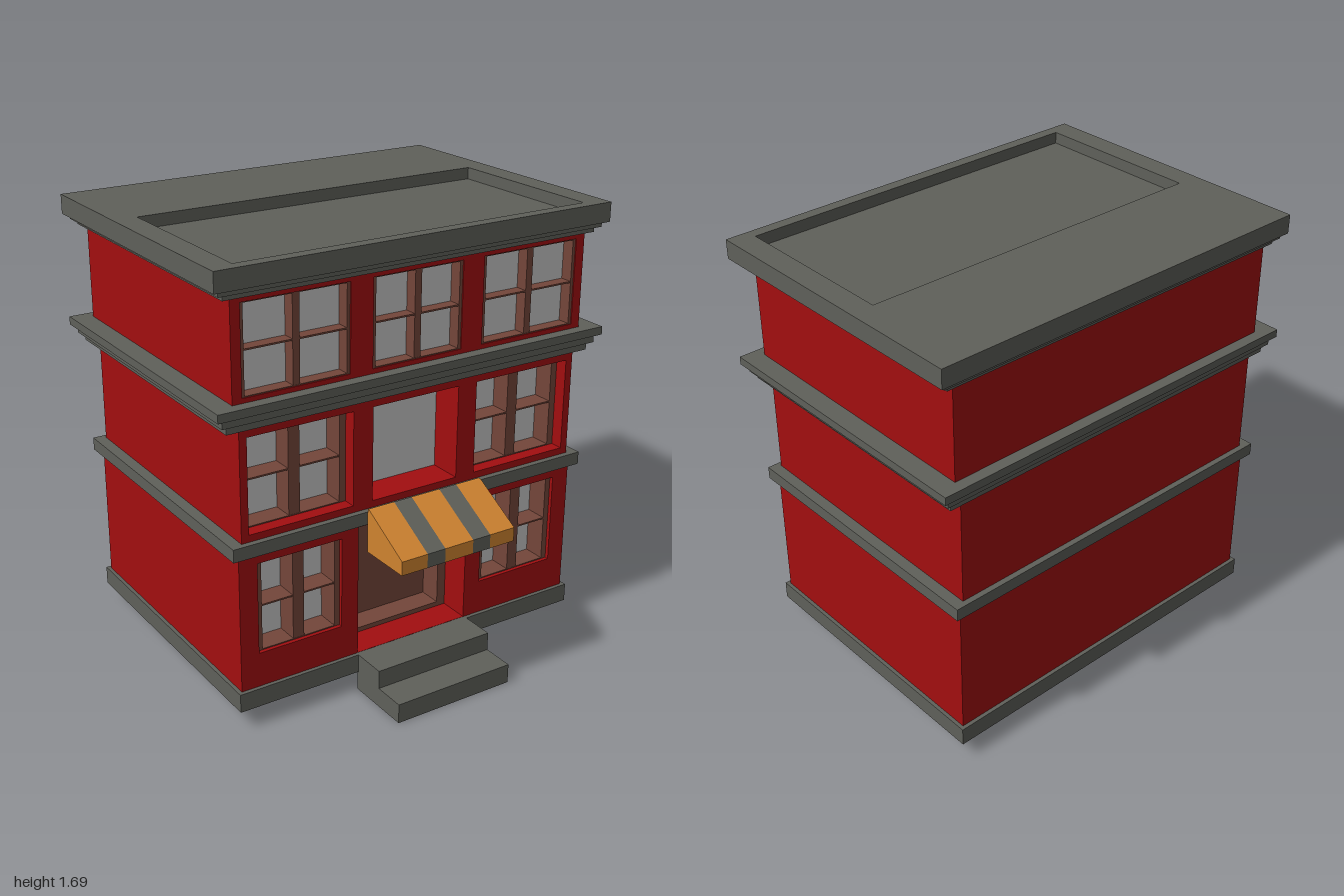
import * as THREE from 'three';

const mat = (name, color) => {
  const m = new THREE.MeshStandardMaterial({ color });
  m.name = name;
  return m;
};

export function createModel() {
  const red = mat('brick red', 0xa20e10);
  const grey = mat('stone grey', 0x5f605a);
  const brown = mat('wood brown', 0x74463a);
  const glassMat = mat('pale glass', 0xc6c6c6);
  const orange = mat('awning orange', 0xcf8330);

  // Local frame: facade faces +z; the whole building is turned at the end
  const building = new THREE.Group();
  building.name = 'building';

  const add = (name, geometry, material) => {
    const mesh = new THREE.Mesh(geometry, material);
    mesh.name = name;
    building.add(mesh);
    return mesh;
  };
  // Box given by its limits
  const box = (name, material, x0, x1, y0, y1, z0, z1) => {
    const g = new THREE.BoxGeometry(x1 - x0, y1 - y0, z1 - z0);
    g.translate((x0 + x1) / 2, (y0 + y1) / 2, (z0 + z1) / 2);
    return add(name, g, material);
  };
  const rectPoints = (x0, x1, y0, y1) => [
    new THREE.Vector2(x0, y0), new THREE.Vector2(x1, y0),
    new THREE.Vector2(x1, y1), new THREE.Vector2(x0, y1)];
  // Rectangular plate with rectangular holes, extruded along +z
  const plate = (outer, holes, depth) => {
    const shape = new THREE.Shape(rectPoints(...outer));
    for (const h of holes) shape.holes.push(new THREE.Path(rectPoints(...h).reverse()));
    return new THREE.ExtrudeGeometry(shape, { depth, bevelEnabled: false });
  };

  // Storeys: solid body plus a front wall with openings
  const D = 0.541;
  const storey = (name, U, y0, y1, thickness, holes) => {
    box(name + 'Body', red, -U, U, y0, y1, -D, D - thickness);
    const wall = plate([-U, U, y0, y1], holes, thickness);
    wall.translate(0, 0, D - thickness);
    add(name + 'FrontWall', wall, red);
  };

  // Window: frame ring, upright, thin crossbar shelf and glass
  const paneAt = (name, [x0, x1, y0, y1], z) =>
    box(name, glassMat, x0, x1, y0, y1, z - 0.003, z + 0.003);
  const windowUnit = (name, hole, { setback, stile, rail, mullion, depth }) => {
    const [x0, x1, y0, y1] = hole;
    const front = D - setback, back = front - depth;
    const frame = plate(hole, [[x0 + stile, x1 - stile, y0 + rail, y1 - rail]], depth);
    frame.translate(0, 0, back);
    add(name + 'Frame', frame, brown);
    const cx = (x0 + x1) / 2, cy = (y0 + y1) / 2;
    box(name + 'Upright', brown, cx - mullion / 2, cx + mullion / 2, y0 + rail, y1 - rail, back, front - 0.001);
    box(name + 'Crossbar', brown, x0 + stile, x1 - stile, cy - 0.003, cy + 0.003, back, front - 0.002);
    paneAt(name + 'Glass', hole, back);
  };

  // Ground floor
  const door = [-0.24, 0.24, 0.147, 0.655];
  const lowWindows = [[-0.65, -0.31, 0.278, 0.628], [0.31, 0.65, 0.278, 0.628]];
  storey('groundFloor', 0.7225, 0.074, 0.69, 0.215, [door, ...lowWindows]);
  lowWindows.forEach((h) => windowUnit('groundWindow', h,
    { setback: 0.015, stile: 0.022, rail: 0.004, mullion: 0.045, depth: 0.09 }));

  // Recessed door with a deep frame
  const doorFrame = plate(door, [[-0.204, 0.204, 0.165, 0.625]], 0.09);
  doorFrame.translate(0, 0, D - 0.21);
  add('doorFrame', doorFrame, brown);
  box('door', brown, -0.24, 0.24, 0.147, 0.655, D - 0.22, D - 0.21);

  // Middle floor with a plain recessed pane in the centre
  const midPane = [-0.182, 0.182, 0.744, 1.098];
  const midWindows = [[-0.68, -0.263, 0.744, 1.098], [0.263, 0.68, 0.744, 1.098]];
  storey('middleFloor', 0.709, 0.69, 1.14, 0.138, [midPane, ...midWindows]);
  midWindows.forEach((h) => windowUnit('middleWindow', h,
    { setback: 0.05, stile: 0.026, rail: 0.004, mullion: 0.045, depth: 0.084 }));
  paneAt('middleCentreGlass', midPane, D - 0.134);

  // Top floor
  const topWindows = [[-0.693, -0.277], [-0.186, 0.186], [0.277, 0.693]].map(([a, b]) => [a, b, 1.237, 1.56]);
  storey('topFloor', 0.73, 1.2, 1.6, 0.062, topWindows);
  topWindows.forEach((h) => windowUnit('topWindow', h,
    { setback: 0.004, stile: 0.012, rail: 0.004, mullion: 0.027, depth: 0.052 }));

  // Stone bands and stepped cornices: half width, half depth, bottom, top
  const bands = [
    ['baseBand', 0.737, 0.556, 0.075, 0.146],
    ['firstLedge', 0.753, 0.5635, 0.669, 0.718],
    ['middleCornice', 0.762, 0.554, 1.129, 1.158],
    ['middleCornice', 0.784, 0.569, 1.158, 1.189],
    ['middleCornice', 0.807, 0.586, 1.189, 1.22],
    ['roofCornice', 0.762, 0.554, 1.579, 1.598],
    ['roofCornice', 0.784, 0.569, 1.598, 1.617],
    ['roofSlab', 0.807, 0.586, 1.617, 1.645],
  ];
  for (const [name, U, d, y0, y1] of bands) {
    if (name === 'baseBand') {
      // The base wraps the walls as a ring, leaving the floor red
      const ring = plate([-U, U, -d, d], [[-0.72, 0.72, -0.538, 0.538]], y1 - y0);
      ring.rotateX(-Math.PI / 2).translate(0, y0, 0);
      add(name, ring, grey);
    } else box(name, grey, -U, U, y0, y1, -d, d);
  }

  // Roof rim around the sunken area near the front
  const rim = plate([-0.807, 0.807, -0.586, 0.586], [[-0.716, 0.716, -0.54, 0.133]], 0.045);
  rim.rotateX(-Math.PI / 2).translate(0, 1.645, 0);
  add('roofRim', rim, grey);

  // Entrance steps
  box('lowerStep', grey, -0.246, 0.246, 0, 0.075, 0.55, 0.813);
  box('upperStep', grey, -0.246, 0.246, 0.075, 0.146, 0.55, 0.688);

  // Striped awning: one wedge per stripe
  const profile = new THREE.Shape([[0.6, 0.585], [0.81, 0.585], [0.81, 0.638], [0.61, 0.75], [0.6, 0.75]]
    .map(([z, y]) => new THREE.Vector2(-z, y)));
  const cuts = [-0.242, -0.135, -0.06, 0.06, 0.135, 0.242];
  for (let i = 0; i < 5; i++) {
    const g = new THREE.ExtrudeGeometry(profile, { depth: cuts[i + 1] - cuts[i], bevelEnabled: false });
    g.rotateY(Math.PI / 2).translate(cuts[i], 0, 0);
    add('awningStripe', g, i % 2 ? grey : orange);
  }
  // Bracket joining the awning to the ledge
  box('awningBracket', grey, -0.2, 0.2, 0.675, 0.712, 0.56, 0.602);

  building.rotation.y = 0.977;
  const model = new THREE.Group();
  model.name = 'townBuilding';
  model.add(building);
  return model;
}
